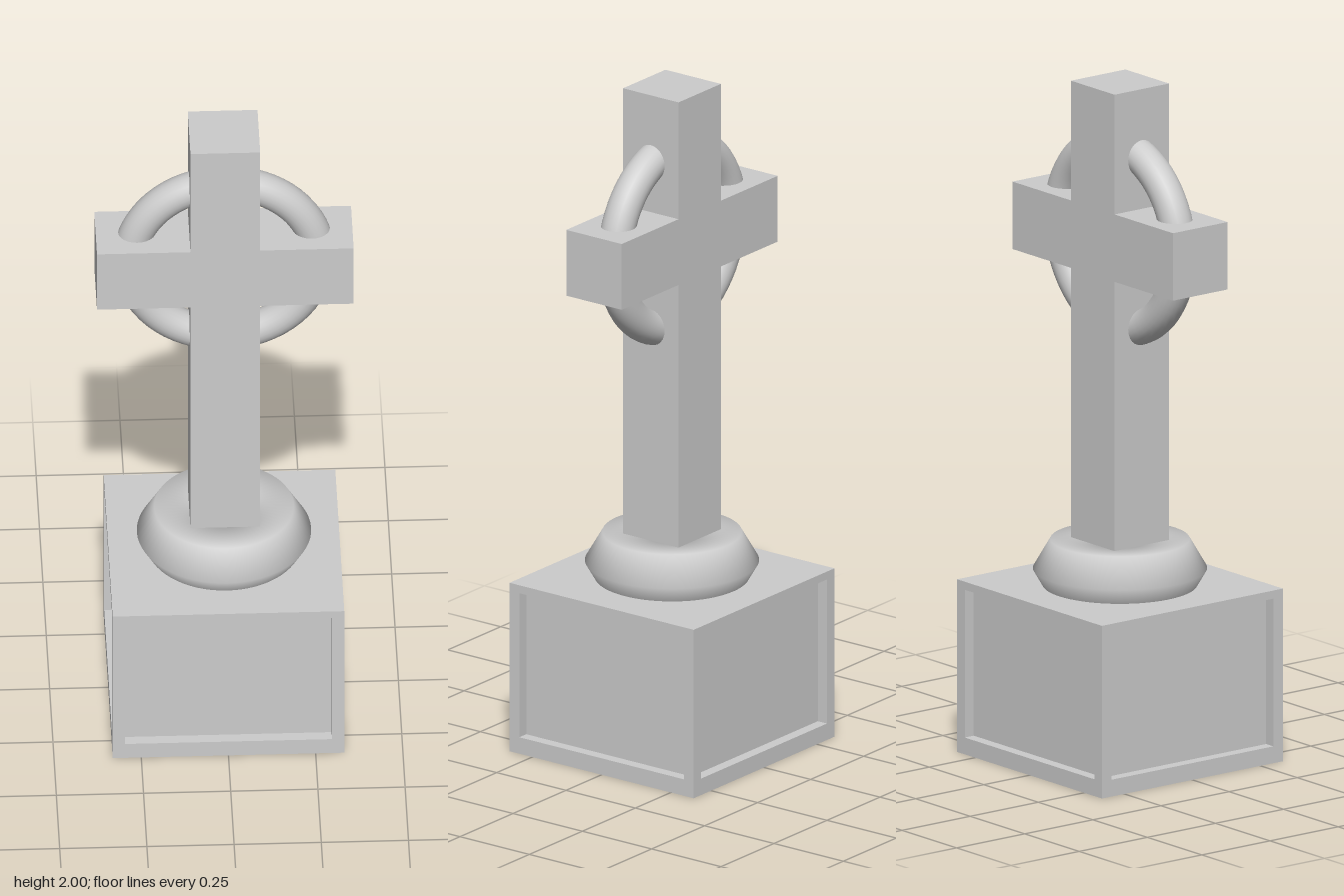
import * as THREE from 'three';

const material = new THREE.MeshStandardMaterial({ color: 0xcccccc });

function part(name, geometry, x = 0, y = 0, z = 0) {
  const mesh = new THREE.Mesh(geometry, material);
  mesh.name = name;
  mesh.position.set(x, y, z);
  return mesh;
}

const HALF = 0.332;      // half width of the plinth
const TOP = 0.512;       // height of the plinth
const RECESS = 0.033;    // depth of the sunken panels

// Corners of an upright rectangle, counter-clockwise seen from +z
const rect = (w, y0, y1, z) => [[-w, y0, z], [w, y0, z], [w, y1, z], [-w, y1, z]];

// One plinth side: flat border, inward step, sunken panel
function sideGeometry() {
  const loops = [
    rect(HALF, 0, TOP, HALF),
    rect(0.297, 0.05, 0.488, HALF),
    rect(0.297, 0.05, 0.488, HALF - RECESS),
  ];
  const pos = [];
  const quad = (a, b, c, d) => pos.push(...a, ...b, ...c, ...a, ...c, ...d);
  for (let k = 0; k < 2; k++) {
    for (let i = 0; i < 4; i++) {
      const j = (i + 1) % 4;
      quad(loops[k][i], loops[k][j], loops[k + 1][j], loops[k + 1][i]);
    }
  }
  quad(...loops[2]);
  const geometry = new THREE.BufferGeometry();
  geometry.setAttribute('position', new THREE.Float32BufferAttribute(pos, 3));
  geometry.computeVertexNormals();
  return geometry;
}

function createPlinth() {
  const plinth = new THREE.Group();
  plinth.name = 'plinth';
  const side = sideGeometry();
  ['front', 'left', 'back', 'right'].forEach((label, i) => {
    const mesh = part(`${label}Panel`, side);
    mesh.rotation.y = i * Math.PI / 2;
    plinth.add(mesh);
  });
  // Top and bottom faces
  const cap = new THREE.PlaneGeometry(HALF * 2, HALF * 2);
  const top = part('plinthTop', cap, 0, TOP, 0);
  top.rotation.x = -Math.PI / 2;
  const bottom = part('plinthBottom', cap);
  bottom.rotation.x = Math.PI / 2;
  plinth.add(top, bottom);
  return plinth;
}

// Shaft and arms as a single outline
function crossGeometry() {
  const s = 0.1, arm = 0.368, y0 = 1.445, y1 = 1.645;
  const half = [[s, TOP], [s, y0], [arm, y0], [arm, y1], [s, y1], [s, 2]];
  const mirrored = half.map(([x, y]) => [-x, y]).reverse();
  const shape = new THREE.Shape([...half, ...mirrored].map(([x, y]) => new THREE.Vector2(x, y)));
  return new THREE.ExtrudeGeometry(shape, { depth: 2 * s, bevelEnabled: false }).translate(0, 0, -s);
}

export function createModel() {
  const model = new THREE.Group();
  model.name = 'ringedCross';
  model.add(createPlinth());

  // Six-sided collar, partly sunk into the plinth
  const collar = part('collar', new THREE.TorusGeometry(0.15, 0.1, 6, 64), 0, 0.56, 0);
  collar.rotation.x = -Math.PI / 2;
  model.add(collar);

  model.add(part('cross', crossGeometry()));
  model.add(part('ring', new THREE.TorusGeometry(0.27, 0.05, 24, 64), 0, 1.545, 0));
  return model;
}
